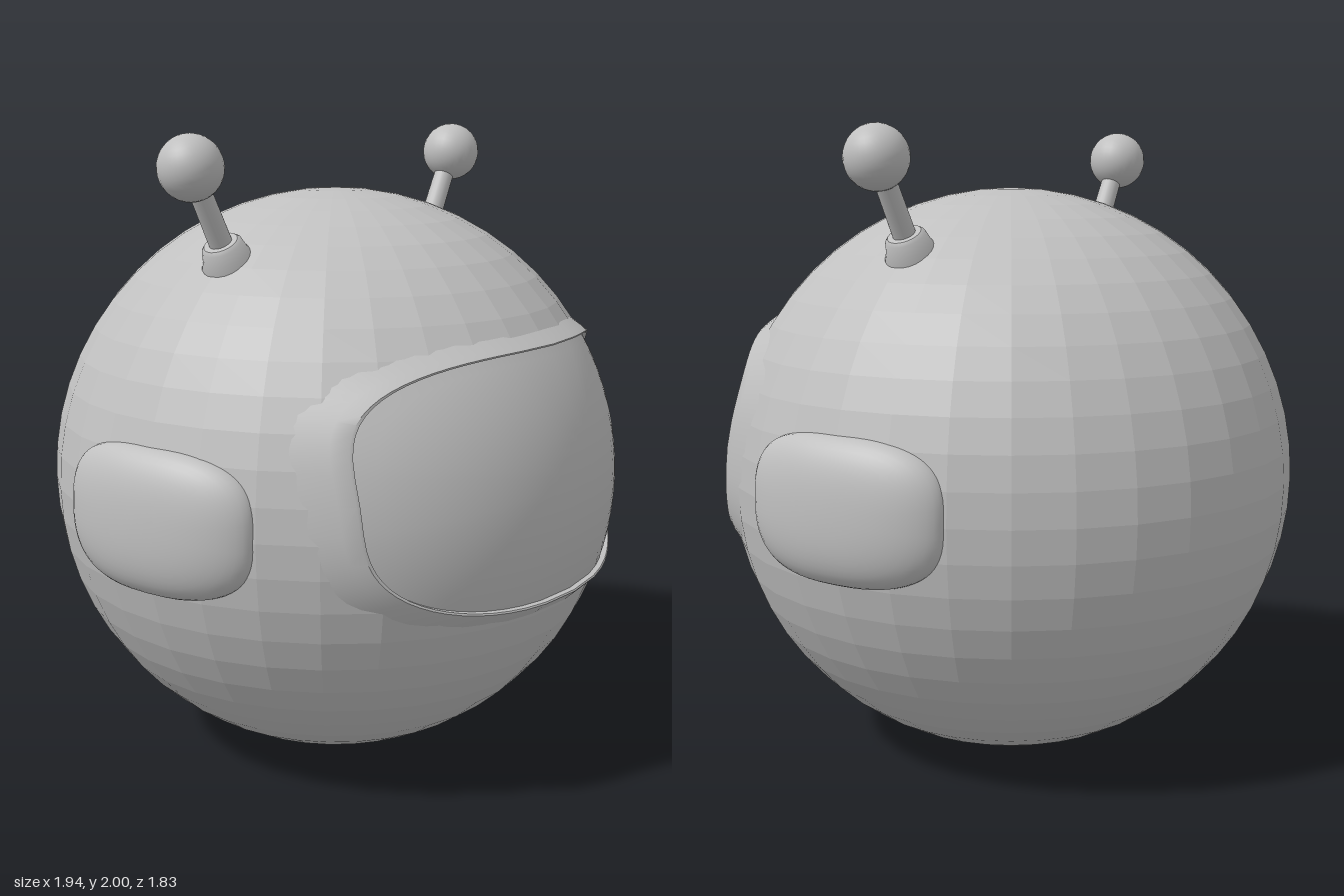
import * as THREE from 'three';
import { toCreasedNormals } from 'three/addons/utils/BufferGeometryUtils.js';

const R = 0.914, CY = 0.9; // helmet radius and centre height

// Curved patch on the helmet, facing +z, made of rounded-rectangle rings.
// rows run from inside out as [scale, height above the sphere]
function spherePatch(a, b, v0, power, rows, n = 72) {
  const pos = [], idx = [];
  const bend = (w) => Math.sign(w) * Math.pow(Math.abs(w), 2 / power);
  for (const [s, h] of rows) {
    for (let j = 0; j < n; j++) {
      const t = (j / n) * Math.PI * 2;
      const u = s * a * bend(Math.cos(t));
      const v = v0 + s * b * bend(Math.sin(t));
      pos.push(u, CY + v, Math.sqrt((R + h) ** 2 - u * u - v * v));
    }
  }
  for (let i = 0; i < rows.length - 1; i++) {
    for (let j = 0; j < n; j++) {
      const k = (j + 1) % n;
      const p = i * n + j, q = i * n + k, r = p + n, s = q + n;
      idx.push(p, r, s, p, s, q);
    }
  }
  const g = new THREE.BufferGeometry();
  g.setAttribute('position', new THREE.Float32BufferAttribute(pos, 3));
  g.setIndex(idx);
  return toCreasedNormals(g, 0.6);
}

export function createModel() {
  const model = new THREE.Group();
  model.name = 'helmet';
  const grey = new THREE.MeshStandardMaterial({ color: 0xc0c0c0 });
  grey.name = 'grey';

  const add = (name, geometry, parent = model) => {
    const mesh = new THREE.Mesh(geometry, grey);
    mesh.name = name;
    parent.add(mesh);
    return mesh;
  };

  // Faceted round shell with a small flat underside
  const ball = new THREE.SphereGeometry(R, 32, 28);
  ball.translate(0, CY, 0);
  const p = ball.attributes.position;
  for (let i = 0; i < p.count; i++) {
    const nearAxis = Math.hypot(p.getX(i), p.getZ(i)) < 0.21;
    if (p.getY(i) < 0 || (nearAxis && p.getY(i) < CY)) p.setY(i, 0);
  }
  const shell = ball.toNonIndexed();
  shell.computeVertexNormals();
  add('shell', shell);

  // Visor and the raised lip around its opening
  const visorRows = [];
  for (let i = 0; i <= 12; i++) visorRows.push([i / 12 * 0.985, 0.002]);
  add('visor', spherePatch(0.715, 0.375, 0.115, 3.2, visorRows));
  add('visorLip', spherePatch(0.715, 0.375, 0.115, 3.2, [
    [0.972, -0.01], [0.982, 0.018], [0.995, 0.022], [1.03, 0.014], [1.12, -0.01],
  ]));

  // Domed ear pads
  const padRows = [];
  for (let i = 0; i <= 12; i++) {
    const s = Math.sin((i / 12) * Math.PI / 2);
    padRows.push([s, 0.058 * Math.sqrt(Math.max(0, 1 - s ** 4))]);
  }
  padRows.push([1, -0.03]);

  // Antenna collar profile, measured along the rod from the ball centre
  const collar = [[0.085, -0.38], [0.08, -0.315], [0.07, -0.295], [0.062, -0.262], [0.052, -0.252], [0, -0.25]]
    .map(([r, y]) => new THREE.Vector2(r, y));

  for (const [side, sign] of [['left', 1], ['right', -1]]) {
    const pad = spherePatch(0.342, 0.216, 0.015, 2.9, padRows);
    pad.rotateY(sign * Math.PI / 2);
    add(side + 'EarPad', pad);

    const antenna = new THREE.Group();
    antenna.name = side + 'Antenna';
    antenna.position.set(sign * 0.687, 1.903, 0);
    antenna.rotation.z = -sign * 0.51;
    model.add(antenna);
    add(side + 'AntennaBall', new THREE.SphereGeometry(0.097, 28, 18), antenna);
    const rod = new THREE.CylinderGeometry(0.033, 0.036, 0.3, 20);
    rod.translate(0, -0.2, 0);
    add(side + 'AntennaRod', rod, antenna);
    add(side + 'AntennaCollar', toCreasedNormals(new THREE.LatheGeometry(collar, 24), 0.7), antenna);
  }
  return model;
}
